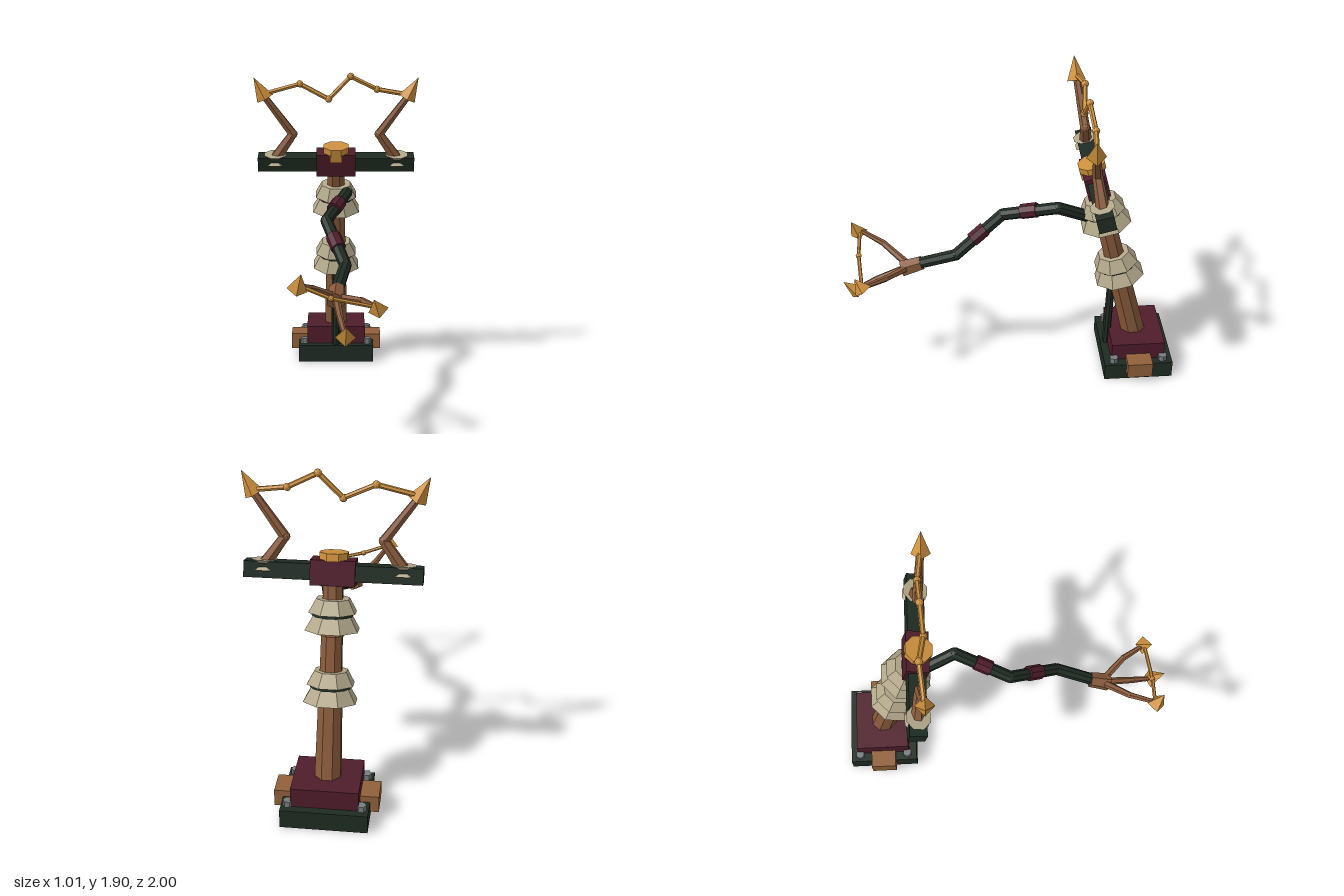
import * as THREE from 'three';

const mat = (name, color) => {
  const m = new THREE.MeshStandardMaterial({ color, flatShading: true });
  m.name = name;
  return m;
};
const V = (p) => new THREE.Vector3(...p);
const UP = new THREE.Vector3(0, 1, 0);

export function createModel() {
  const green = mat('dark green', 0x1f2b22);
  const maroon = mat('maroon', 0x4f1c2b);
  const brown = mat('copper brown', 0x87593a);
  const wood = mat('light copper', 0x91603a);
  const gold = mat('gold', 0xcc8f3c);
  const bone = mat('bone ceramic', 0xb3a88b);
  const steel = mat('steel', 0x777d80);

  const model = new THREE.Group();
  model.name = 'leaningPylon';

  const add = (parent, name, geo, m, pos = [0, 0, 0]) => {
    const mesh = new THREE.Mesh(geo, m);
    mesh.name = name;
    mesh.position.set(...pos);
    parent.add(mesh);
    return mesh;
  };
  const box = (parent, name, size, pos, m) =>
    add(parent, name, new THREE.BoxGeometry(...size), m, pos);
  // Tapered prism standing on the y axis, with a flat side to the front
  const drum = (parent, name, y0, y1, r0, r1, m, sides = 8, x = 0, z = 0) => {
    const g = new THREE.CylinderGeometry(r1, r0, y1 - y0, sides);
    g.rotateY(Math.PI / sides);
    return add(parent, name, g, m, [x, (y0 + y1) / 2, z]);
  };
  // Tapered rod between two points
  const rod = (parent, name, a, b, r0, r1, m, sides = 6) => {
    const p = V(a), q = V(b), d = q.clone().sub(p);
    const mesh = add(parent, name, new THREE.CylinderGeometry(r1, r0, d.length(), sides), m);
    mesh.position.copy(p).add(q).multiplyScalar(0.5);
    mesh.quaternion.setFromUnitVectors(UP, d.normalize());
    return mesh;
  };
  const bead = (parent, name, p, r, m) =>
    add(parent, name, new THREE.IcosahedronGeometry(r, 1), m, p);
  // Chain of rods with beads at the inner joints
  const chain = (parent, name, pts, r0, r1, beadScale, m, sides = 6) => {
    const n = pts.length - 1;
    const rad = (i) => r0 + (r1 - r0) * i / n;
    for (let i = 0; i < n; i++) {
      rod(parent, name, pts[i], pts[i + 1], rad(i), rad(i + 1), m, sides);
      if (i) bead(parent, name + 'Joint', pts[i], rad(i) * beadScale, m);
    }
  };
  const spike = (parent, name, base, tip, r) => rod(parent, name, base, tip, r, 0, gold, 4);

  // Base with side blocks and corner bolts
  const base = new THREE.Group();
  base.name = 'base';
  model.add(base);
  const bz = -0.788;
  box(base, 'basePlate', [0.49, 0.11, 0.424], [0, 0.055, bz], green);
  box(base, 'plinth', [0.38, 0.115, 0.33], [0, 0.1675, bz], maroon);
  for (const s of [-1, 1]) {
    box(base, 'sideBlock', [0.13, 0.1, 0.155], [s * 0.23, 0.098, bz], wood);
    for (const t of [-1, 1])
      drum(base, 'bolt', 0.11, 0.145, 0.028, 0.028, steel, 6, s * 0.205, bz + t * 0.153);
  }
  rod(model, 'frontStrut', [0, 0.1, -0.614], [0, 0.62, -0.627], 0.025, 0.025, green, 8);

  // Leaning mast: everything here is built along its own axis
  const mast = new THREE.Group();
  mast.name = 'mast';
  mast.position.set(0, 0.22, -0.775);
  mast.rotation.x = 0.247;
  model.add(mast);
  drum(mast, 'lowerPole', -0.03, 0.43, 0.079, 0.07, brown);
  drum(mast, 'upperPole', 0.43, 1.2, 0.068, 0.055, brown);
  for (const y of [0.43, 0.835]) {
    drum(mast, 'collar', y - 0.03, y, 0.074, 0.074, brown);
    drum(mast, 'lowerSkirt', y, y + 0.085, 0.157, 0.108, bone);
    drum(mast, 'skirtRing', y + 0.08, y + 0.105, 0.116, 0.116, green, 12);
    drum(mast, 'upperSkirt', y + 0.098, y + 0.175, 0.138, 0.096, bone);
  }

  // Crossbar, hub and cap
  const hub = 1.157;
  box(mast, 'crossbar', [0.975, 0.09, 0.1], [0, hub, 0], green);
  box(mast, 'hubBlock', [0.245, 0.14, 0.13], [0, hub, 0], maroon);
  drum(mast, 'cap', hub + 0.065, hub + 0.108, 0.083, 0.083, gold);
  box(mast, 'capTongue', [0.075, 0.05, 0.03], [0, hub + 0.05, 0.06], gold);
  for (const s of [-1, 1]) {
    drum(mast, 'waistedInsulatorTop', hub + 0.025, hub + 0.052, 0.042, 0.073, bone, 8, s * 0.38);
    drum(mast, 'waistedInsulatorBottom', hub - 0.003, hub + 0.025, 0.073, 0.042, bone, 8, s * 0.38);
  }

  // Bent horns with spikes
  for (const s of [-1, 1]) {
    const horn = new THREE.Group();
    horn.name = s > 0 ? 'leftHorn' : 'rightHorn';
    model.add(horn);
    chain(horn, 'hornArm',
      [[s * 0.375, 1.37, -0.485], [s * 0.268, 1.522, -0.463], [s * 0.45, 1.77, -0.425]],
      0.038, 0.021, 1, brown);
    spike(horn, 'hornSpike', [s * 0.435, 1.745, -0.425], [s * 0.505, 1.875, -0.415], 0.055);
  }
  // Zigzag wire between the horns
  chain(model, 'zigzagWire',
    [[-0.45, 1.772, -0.425], [-0.222, 1.833, -0.445], [-0.045, 1.742, -0.423],
      [0.09, 1.88, -0.43], [0.253, 1.8, -0.445], [0.45, 1.768, -0.425]],
    0.015, 0.015, 1.5, gold);

  // Reaching cable arm with sleeves
  const arm = new THREE.Group();
  arm.name = 'cableArm';
  model.add(arm);
  const path = [[0, 1.05, -0.53], [0.065, 1.185, -0.275], [-0.055, 1.075, 0.04],
    [0.055, 0.875, 0.325], [0.005, 0.785, 0.56]];
  chain(arm, 'cable', path, 0.036, 0.036, 1, green, 8);
  for (const i of [1, 2]) {
    const a = V(path[i]), b = V(path[i + 1]);
    // slight upward bow at each sleeve
    const at = (t) => a.clone().lerp(b, t).add(new THREE.Vector3(0, 0.005, 0)).toArray();
    rod(arm, 'sleeve', at(0.37), at(0.65), 0.045, 0.045, maroon, 8);
  }

  // Three-fingered claw
  const claw = new THREE.Group();
  claw.name = 'claw';
  model.add(claw);
  rod(claw, 'clawSocket', [0.008, 0.792, 0.53], [0, 0.752, 0.645], 0.046, 0.054, brown, 6);
  const fingers = [
    { mid: [-0.125, 0.855, 0.755], end: [-0.195, 0.91, 0.895], root: [-0.2, 0.885, 0.9], tip: [-0.178, 0.98, 0.942] },
    { mid: [0.14, 0.785, 0.745], end: [0.22, 0.785, 0.88], root: [0.225, 0.768, 0.872], tip: [0.2, 0.838, 0.92] },
    { mid: [0.025, 0.7, 0.8], end: [0.05, 0.645, 0.935], root: [0.052, 0.632, 0.915], tip: [0.055, 0.71, 1.0] },
  ];
  for (const f of fingers) {
    chain(claw, 'finger', [[0, 0.765, 0.6], f.mid, f.end], 0.024, 0.014, 1, brown);
    spike(claw, 'fingerSpike', f.root, f.tip, 0.055);
  }
  chain(claw, 'clawWire', [fingers[0].end, [-0.025, 0.84, 0.902], fingers[1].end],
    0.011, 0.011, 1.6, gold);

  return model;
}
